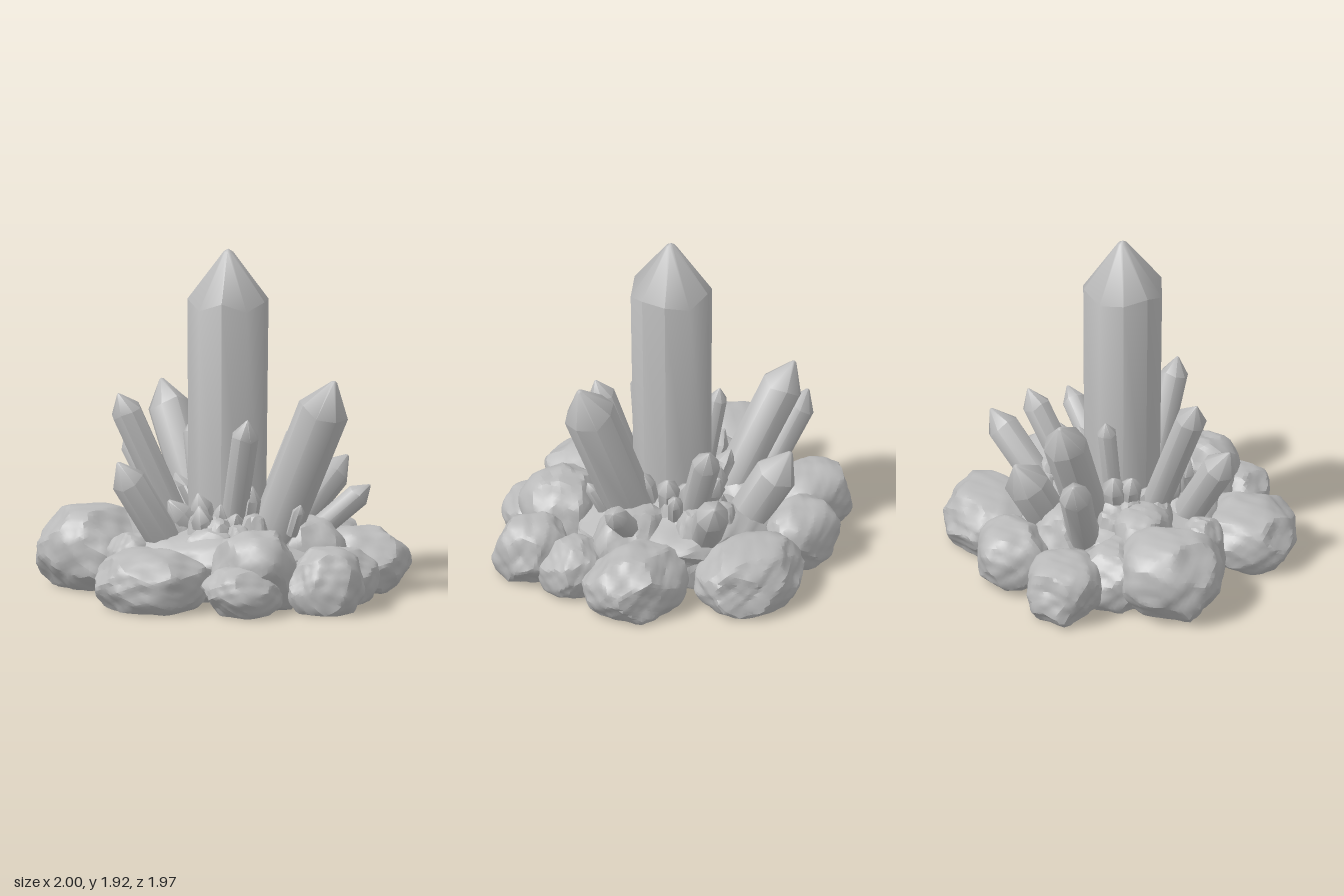
import * as THREE from 'three';
import { toCreasedNormals } from 'three/addons/utils/BufferGeometryUtils.js';

// small seeded random generator
function seeded(seed) {
  let s = seed * 7919 + 17;
  const next = () => {
    s = (s * 16807) % 2147483647;
    return s / 2147483647;
  };
  for (let i = 0; i < 5; i++) next();
  return next;
}

export function createModel() {
  const model = new THREE.Group();
  const stone = new THREE.MeshStandardMaterial({ color: 0xbababa });
  stone.name = 'grey stone';

  const add = (name, geometry) => {
    const mesh = new THREE.Mesh(geometry, stone);
    mesh.name = name;
    model.add(mesh);
    return mesh;
  };

  // Boulder: a blocky ball chipped by random planes, roughened, fitted to its
  // half widths rx, rz and its top height, and flattened on the ground
  function rock(name, seed, x, z, rx, rz, top, detail = 10) {
    const rnd = seeded(seed);
    const planes = [];
    for (let i = 0; i < 18; i++) {
      const n = new THREE.Vector3(rnd() * 2 - 1, rnd() * 2 - 1, rnd() * 2 - 1).normalize();
      planes.push({ n, h: 0.88 + rnd() * 0.22 });
    }
    const geo = new THREE.IcosahedronGeometry(1, detail);
    const p = geo.attributes.position;
    const d = new THREE.Vector3();
    for (let i = 0; i < p.count; i++) {
      d.fromBufferAttribute(p, i).normalize();
      let r = (Math.abs(d.x) ** 2.8 + Math.abs(d.y) ** 2.8 + Math.abs(d.z) ** 2.8) ** (-1 / 2.8);
      for (const { n, h } of planes) {
        const c = d.dot(n);
        if (c > 0.5) r = Math.min(r, h / c);
      }
      r += 0.04 * Math.sin(d.x * 7 + seed) * Math.sin(d.y * 6 + seed * 2) * Math.sin(d.z * 7 - seed)
        + 0.018 * Math.sin(d.x * 13 + d.z * 11 + seed) * Math.sin(d.y * 14 + d.x * 5);
      p.setXYZ(i, d.x * r, d.y * r, d.z * r);
    }
    geo.computeBoundingBox();
    const { min, max } = geo.boundingBox;
    const fit = (v, axis, lo, hi) => lo + (v - min[axis]) / (max[axis] - min[axis]) * (hi - lo);
    for (let i = 0; i < p.count; i++) {
      p.setXYZ(i, fit(p.getX(i), 'x', x - rx, x + rx),
        Math.max(0, fit(p.getY(i), 'y', -0.16 * top, top)),
        fit(p.getZ(i), 'z', z - rz, z + rz));
    }
    add(name, toCreasedNormals(geo, 0.4));
  }

  // Crystal: a softly faceted prism with a pointed cap and uneven shoulder
  function crystal(name, base, tip, radius, sides = 8, seed = 1) {
    const rnd = seeded(seed);
    const a = new THREE.Vector3(...base);
    const axis = new THREE.Vector3(...tip).sub(a);
    const len = axis.length();
    const shoulder = Math.max(len * 0.5, len - radius * 1.3);
    const profile = [[radius * 0.95, 0], [radius, shoulder], [radius * 0.12, len * 0.99], [0, len]]
      .map(([r, y]) => new THREE.Vector2(r, y));
    const geo = new THREE.LatheGeometry(profile, sides, rnd() * 0.6);
    const p = geo.attributes.position;
    for (let i = 0; i < p.count; i++) {
      const k = Math.floor(i / 4) % sides;
      if (i % 4 === 1) p.setY(i, shoulder + Math.sin(k * 2.4 + seed) * radius * 0.12);
    }
    const mesh = add(name, toCreasedNormals(geo, 0.83));
    mesh.position.copy(a);
    mesh.quaternion.setFromUnitVectors(new THREE.Vector3(0, 1, 0), axis.normalize());
  }

  // Central mound and the ring of boulders: x, z, half widths, top
  rock('centralMound', 3, 0, 0, 0.58, 0.57, 0.41, 14);
  [
    [0.07, -0.73, 0.33, 0.26, 0.33],
    [-0.4, -0.57, 0.24, 0.22, 0.35],
    [-0.75, -0.3, 0.25, 0.21, 0.32],
    [-0.69, 0.29, 0.31, 0.29, 0.45],
    [-0.1, 0.69, 0.3, 0.29, 0.33],
    [0.42, 0.58, 0.21, 0.24, 0.27],
    [0.79, 0.29, 0.205, 0.21, 0.35],
    [0.61, -0.36, 0.3, 0.25, 0.35],
    [0.74, 0.0, 0.18, 0.2, 0.3],
    [-0.62, 0.0, 0.22, 0.2, 0.34],
    [-0.36, 0.46, 0.15, 0.13, 0.36],
  ].forEach(([x, z, rx, rz, top], i) => rock('boulder' + (i + 1), i + 5, x, z, rx, rz, top));

  // Upper stones resting on the mound
  [
    [0.42, 0.43, 0.24, 0.23, 0.44],
    [-0.4, 0.12, 0.22, 0.18, 0.45],
    [0.42, -0.12, 0.25, 0.2, 0.43],
    [0.05, 0.32, 0.22, 0.18, 0.42],
    [-0.3, -0.28, 0.23, 0.2, 0.42],
    [0.1, -0.33, 0.22, 0.18, 0.41],
  ].forEach(([x, z, rx, rz, top], i) => rock('upperStone' + (i + 1), i + 31, x, z, rx, rz, top, 8));

  // Large crystals: base, tip, radius
  crystal('mainCrystal', [-0.005, 0.2, 0.005], [0.005, 1.92, 0.01], 0.228, 10, 2);
  crystal('leftLargeCrystal', [0.27, 0.27, 0.01], [0.69, 1.24, 0.015], 0.146, 8, 4);
  [
    [[-0.25, 0.3, -0.17], [-0.615, 1.07, -0.33], 0.122],
    [[-0.19, 0.3, 0.17], [-0.46, 1.13, 0.43], 0.088],
    [[0.1, 0.3, 0.15], [0.3, 1.03, 0.31], 0.078],
    [[-0.46, 0.3, -0.2], [-0.79, 0.79, -0.25], 0.09],
    [[-0.18, 0.28, 0.36], [-0.36, 0.78, 0.61], 0.1],
    [[-0.2, 0.28, -0.4], [-0.36, 0.69, -0.58], 0.125],
    [[0.08, 0.3, -0.24], [0.2, 0.87, -0.52], 0.08],
    [[0.15, 0.28, -0.43], [0.35, 0.66, -0.73], 0.095],
    [[0.45, 0.32, -0.14], [0.73, 0.6, -0.31], 0.068],
    [[-0.18, 0.3, -0.03], [-0.28, 0.92, -0.08], 0.055],
  ].forEach(([b, t, r], i) => crystal('sideCrystal' + (i + 1), b, t, r, 8, i + 6));

  // Rubble and short shards around the foot of the main crystal
  const rnd = seeded(91);
  const count = 16;
  for (let i = 0; i < count; i++) {
    const a = (i + rnd() * 0.6) / count * Math.PI * 2;
    const c = Math.cos(a), s = Math.sin(a);
    const reach = 0.27 + rnd() * 0.12;
    crystal('shard' + (i + 1), [c * 0.2, 0.3, s * 0.2],
      [c * reach, 0.48 + rnd() * 0.16, s * reach], 0.05 + rnd() * 0.03, 7, i + 50);
    const far = 0.3 + rnd() * 0.15, size = 0.07 + rnd() * 0.05;
    rock('rubble' + (i + 1), i + 70, c * far, s * far, size, size, 0.42 + rnd() * 0.06, 5);
  }
  crystal('outerShard1', [0.45, 0.36, 0.08], [0.53, 0.54, 0.12], 0.035, 7, 80);
  crystal('outerShard2', [0.02, 0.32, 0.3], [0.03, 0.53, 0.38], 0.065, 7, 81);
  crystal('outerShard3', [0.22, 0.34, -0.26], [0.31, 0.56, -0.36], 0.045, 7, 82);

  return model;
}
